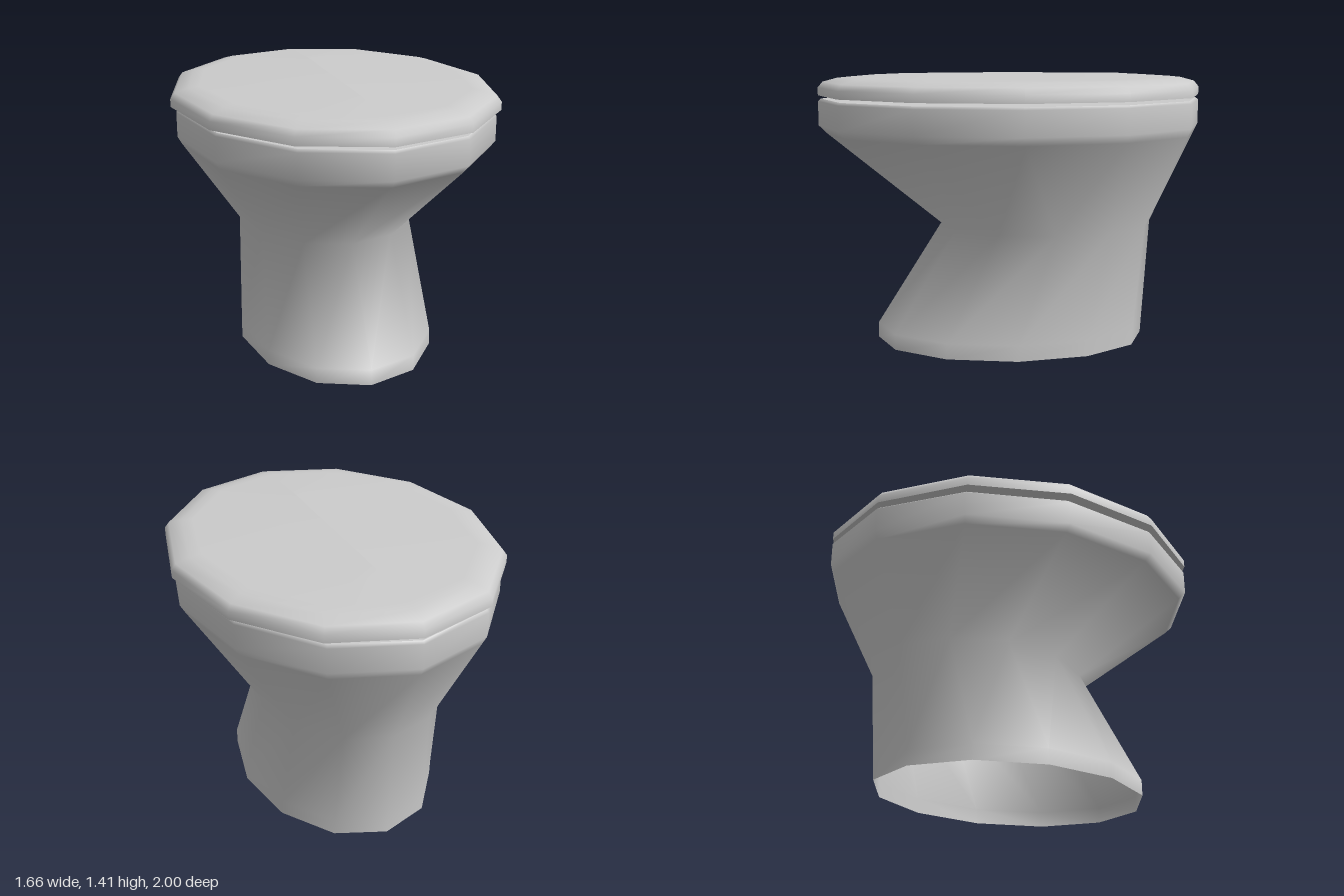
import * as THREE from 'three';
import { mergeGeometries } from 'three/addons/utils/BufferGeometryUtils.js';

const SIDES = 12;

// Smooth skin through oval rings, listed bottom to top as [y, half width, front z, back z]
function loft(rings) {
  const positions = [];
  const index = [];
  for (const [y, rx, front, back] of rings) {
    const mid = (front + back) / 2;
    const rz = (front - back) / 2;
    for (let j = 0; j < SIDES; j++) {
      const t = (j / SIDES) * Math.PI * 2;
      positions.push(rx * Math.sin(t), y, mid + rz * Math.cos(t));
    }
  }
  for (let i = 0; i < rings.length - 1; i++) {
    for (let j = 0; j < SIDES; j++) {
      const a = i * SIDES + j;
      const b = i * SIDES + ((j + 1) % SIDES);
      index.push(a, b, b + SIDES, a, b + SIDES, a + SIDES);
    }
  }
  const geometry = new THREE.BufferGeometry();
  geometry.setAttribute('position', new THREE.Float32BufferAttribute(positions, 3));
  geometry.setIndex(index);
  geometry.computeVertexNormals();
  return geometry;
}

export function createModel() {
  const group = new THREE.Group();
  const material = new THREE.MeshStandardMaterial({ color: 0xcccccc, side: THREE.DoubleSide });

  const add = (name, ...parts) => {
    const mesh = new THREE.Mesh(mergeGeometries(parts), material);
    mesh.name = name;
    group.add(mesh);
  };

  // Open foot, pinched waist and flared bowl, with a flat top
  add('bowlAndPedestal',
    loft([
      [0, 0.505, 0.71, -0.71],
      [0.08, 0.505, 0.71, -0.715],
      [0.62, 0.465, 0.37, -0.75],
      [1.1, 0.78, 0.96, -0.98],
      [1.14, 0.803, 1.0, -1.0],
      [1.265, 0.803, 1.0, -1.0],
      [1.278, 0.79, 0.985, -0.985],
    ]),
    loft([
      [1.278, 0.79, 0.985, -0.985],
      [1.278, 0, 0, 0],
    ]));

  // Lid with a rounded edge, a slight ridge along the top and a flat underside
  add('lid',
    loft([
      [1.295, 0.83, 1.0, -1.0],
      [1.335, 0.83, 1.0, -1.0],
      [1.365, 0.808, 0.975, -0.975],
      [1.385, 0.74, 0.9, -0.9],
      [1.391, 0.68, 0.84, -0.84],
      [1.409, 0, 0.53, -0.53],
    ]),
    loft([
      [1.295, 0, 0, 0],
      [1.295, 0.83, 1.0, -1.0],
    ]));

  return group;
}
